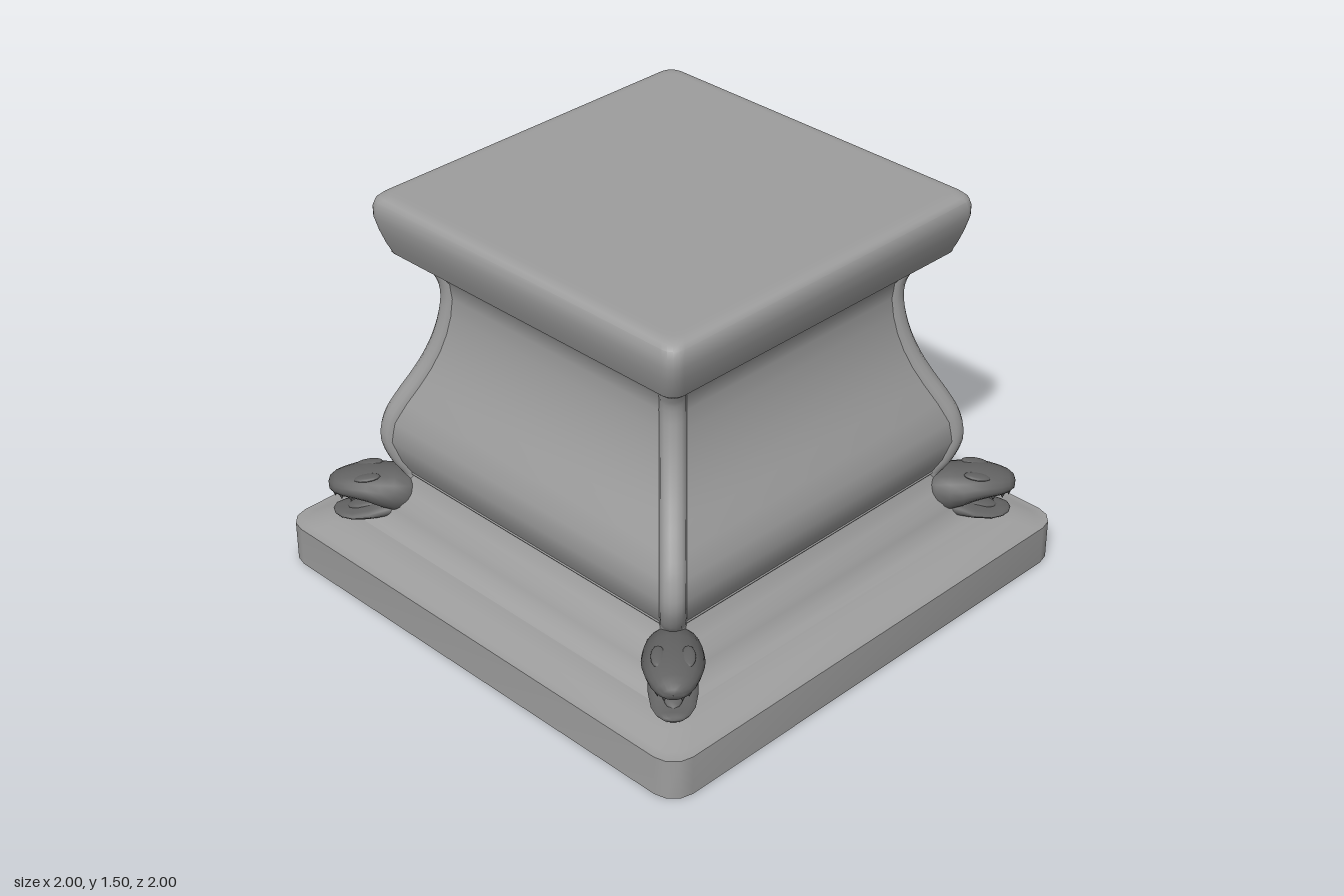
import * as THREE from 'three';
import { toCreasedNormals } from 'three/addons/utils/BufferGeometryUtils.js';

const stone = new THREE.MeshStandardMaterial({ color: 0x9e9e9e, side: THREE.DoubleSide });
const darkMetal = new THREE.MeshStandardMaterial({ color: 0x626262, side: THREE.DoubleSide });

// Skin a list of equally long point loops
function loft(rings, crease) {
  const n = rings[0].length, index = [];
  for (let i = 0; i < rings.length - 1; i++) {
    for (let j = 0; j < n; j++) {
      const k = (j + 1) % n;
      const a = i * n + j, b = i * n + k, c = a + n, d = b + n;
      index.push(a, c, b, b, c, d);
    }
  }
  const geo = new THREE.BufferGeometry();
  geo.setAttribute('position', new THREE.Float32BufferAttribute(rings.flat(2), 3));
  geo.setIndex(index);
  return toCreasedNormals(geo, crease);
}

// Horizontal square with rounded corners
function squareRing(y, half, radius, steps) {
  const r = Math.min(radius, half * 0.5), ring = [];
  for (let q = 0; q < 4; q++) {
    const mid = Math.PI / 4 + q * Math.PI / 2;
    const cx = Math.sign(Math.cos(mid)) * (half - r), cz = Math.sign(Math.sin(mid)) * (half - r);
    for (let s = 0; s <= steps; s++) {
      const t = (q + s / steps) * Math.PI / 2;
      ring.push([cx + r * Math.cos(t), y, cz + r * Math.sin(t)]);
    }
  }
  return ring;
}

// Upright ellipse, used along the length of the heads
function ovalRing([z, low, high, halfWidth]) {
  const ring = [];
  for (let j = 0; j < 18; j++) {
    const t = j / 18 * Math.PI * 2;
    ring.push([halfWidth * Math.cos(t), (low + high) / 2 - (high - low) / 2 * Math.sin(t), z]);
  }
  return ring;
}

function add(parent, name, geo, material = stone) {
  const mesh = new THREE.Mesh(geo, material);
  mesh.name = name;
  parent.add(mesh);
  return mesh;
}

const squareLoft = (profile, radius, steps = 4, crease = 0.6) =>
  loft(profile.map(([y, h]) => squareRing(y, h, radius, steps)), crease);

// Outline of the waist: height, half width
const waist = [[0.38, 0.7], [0.44, 0.73], [0.52, 0.752], [0.6, 0.742], [0.68, 0.71], [0.76, 0.672],
  [0.83, 0.642], [0.9, 0.618], [0.97, 0.6], [1.04, 0.588], [1.11, 0.582], [1.17, 0.587]];

// Open-mouthed reptile head, facing +z
function makeHead() {
  const head = new THREE.Group();
  head.name = 'reptileHead';
  add(head, 'skullAndUpperJaw', loft([
    [0.89, 0.29, 0.292, 0.001], [0.895, 0.265, 0.33, 0.04], [0.915, 0.235, 0.36, 0.07],
    [0.95, 0.215, 0.377, 0.092], [1.0, 0.22, 0.384, 0.104], [1.05, 0.24, 0.383, 0.107],
    [1.1, 0.265, 0.382, 0.104], [1.15, 0.278, 0.375, 0.093], [1.19, 0.282, 0.366, 0.077],
    [1.22, 0.288, 0.357, 0.058], [1.24, 0.3, 0.343, 0.034], [1.246, 0.322, 0.324, 0.001],
  ].map(ovalRing), 1), darkMetal);
  add(head, 'lowerJaw', loft([
    [0.95, 0.25, 0.252, 0.001], [0.97, 0.215, 0.285, 0.07], [1.04, 0.199, 0.272, 0.085],
    [1.1, 0.192, 0.245, 0.084], [1.16, 0.19, 0.224, 0.074], [1.2, 0.191, 0.218, 0.056],
    [1.225, 0.196, 0.217, 0.033], [1.235, 0.206, 0.208, 0.001],
  ].map(ovalRing), 1), darkMetal);
  const tongue = add(head, 'tongue', new THREE.SphereGeometry(1, 12, 8), darkMetal);
  tongue.scale.set(0.04, 0.014, 0.09);
  tongue.position.set(0, 0.238, 1.1);
  tongue.rotation.x = 0.25;
  for (const side of [-1, 1]) {
    // Low brow ridge
    const brow = add(head, 'brow', new THREE.SphereGeometry(1, 12, 8), darkMetal);
    brow.scale.set(0.025, 0.01, 0.05);
    brow.position.set(side * 0.05, 0.37, 1.1);
    brow.rotation.x = 0.15;
    // Short teeth along the upper jaw
    for (const [x, z] of [[0.03, 1.22], [0.052, 1.195], [0.066, 1.16]]) {
      const tooth = add(head, 'tooth', new THREE.ConeGeometry(0.01, 0.022, 6), darkMetal);
      tooth.position.set(side * x, 0.29, z);
      tooth.rotation.x = Math.PI;
    }
  }
  return head;
}

export function createModel() {
  const model = new THREE.Group();
  model.name = 'pedestal';

  // Hollow foot slab with a bevelled upper step
  add(model, 'base', squareLoft([[0, 1], [0.155, 1], [0.156, 0.968], [0.186, 0.912], [0.19, 0.83]], 0.09, 3, 0.55));

  // Cove between the slab and the waist
  add(model, 'footMoulding', squareLoft([[0.19, 0.832], [0.2, 0.81], [0.225, 0.785], [0.255, 0.768],
    [0.282, 0.757], [0.32, 0.722], [0.35, 0.702], [0.382, 0.688]], 0.05));

  // Curved waist, flaring into the neck under the cap
  const neck = [[1.195, 0.592], [1.215, 0.605], [1.232, 0.622], [1.282, 0.695]];
  add(model, 'waist', squareLoft([...waist.map(([y, h]) => [y, h - 0.012]), ...neck], 0.04, 4, 0.75));

  // Cap with rounded edges
  add(model, 'cap', squareLoft([[1.282, 0.695], [1.32, 0.71], [1.37, 0.725], [1.42, 0.736], [1.455, 0.736],
    [1.48, 0.729], [1.493, 0.716], [1.499, 0.698], [1.5, 0.68], [1.5, 0.66], [1.5, 0.001]], 0.05));

  // Corner ribs running down into the heads
  const ribPath = new THREE.CatmullRomCurve3([[0.31, 0.71], ...waist, [1.24, 0.61]]
    .map(([y, h]) => new THREE.Vector3(0, y, (h - 0.045) * Math.SQRT2)));
  for (let q = 0; q < 4; q++) {
    const corner = new THREE.Group();
    corner.name = 'corner';
    corner.rotation.y = Math.PI / 4 + q * Math.PI / 2;
    add(corner, 'rib', new THREE.TubeGeometry(ribPath, 36, 0.046, 14));
    corner.add(makeHead());
    model.add(corner);

    // Thin bead along the foot of each panel
    const side = new THREE.Group();
    side.name = 'panelTrim';
    side.rotation.y = q * Math.PI / 2;
    const bead = add(side, 'panelBead', new THREE.CylinderGeometry(0.006, 0.006, 1.26, 8));
    bead.rotation.z = Math.PI / 2;
    bead.position.set(0, 0.386, 0.69);
    model.add(side);
  }
  return model;
}
